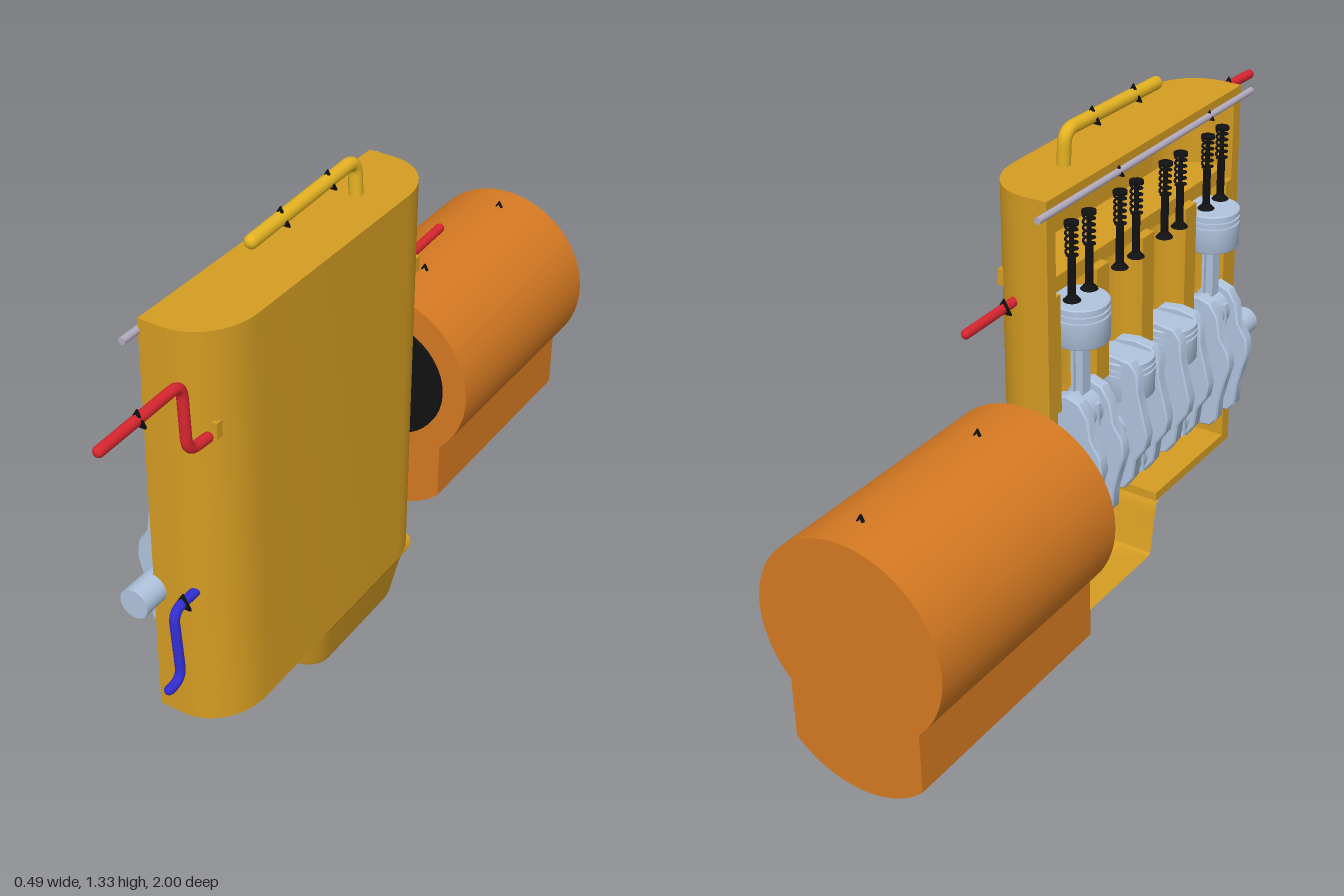
import * as THREE from 'three';
import { toCreasedNormals, mergeVertices } from 'three/addons/utils/BufferGeometryUtils.js';

const mat = (color) => new THREE.MeshStandardMaterial({ color, side: THREE.DoubleSide });
const gold = mat(0xd49c22), orange = mat(0xd67a22), steel = mat(0xb0c4de), black = mat(0x111111);
const yellow = mat(0xe6b422), red = mat(0xd8262f), blue = mat(0x322ed2), grey = mat(0xb4acc0);

const AXIS_X = 0.012, CRANK_Y = 0.51, THROW = 0.12, ROD = 0.24;
const CYLINDERS = [-0.09, 0.12, 0.33, 0.54];
const FACE = 0.015; // x of the cut-open side of the block

function add(parent, name, geometry, material, x = 0, y = 0, z = 0) {
  const mesh = new THREE.Mesh(geometry, material);
  mesh.name = name;
  mesh.position.set(x, y, z);
  parent.add(mesh);
  return mesh;
}

const rodZ = (r, length, sides = 28) => new THREE.CylinderGeometry(r, r, length, sides).rotateX(Math.PI / 2);

// Points [z, x] round three sides of a half-rounded plan, from face to face
function plan(z0, z1, x, rz, rx, n = 10) {
  const pts = [[z0, FACE]];
  for (let i = 0; i <= n; i++) {
    const a = (i / n) * Math.PI / 2;
    pts.push([z0 + rz * (1 - Math.cos(a)), x - rx * (1 - Math.sin(a))]);
  }
  for (let i = 0; i <= n; i++) {
    const a = (i / n) * Math.PI / 2;
    pts.push([z1 - rz * (1 - Math.sin(a)), x - rx * (1 - Math.cos(a))]);
  }
  pts.push([z1, FACE]);
  return pts;
}

const toShape = (pts) => new THREE.Shape(pts.map(([a, b]) => new THREE.Vector2(a, b)));

// Extrudes a [z, x] plan upwards from y0 to y1
function slab(shape, y0, y1) {
  const g = new THREE.ExtrudeGeometry(shape, { depth: y1 - y0, bevelEnabled: false, curveSegments: 20 });
  g.applyMatrix4(new THREE.Matrix4().makeBasis(
    new THREE.Vector3(0, 0, 1), new THREE.Vector3(1, 0, 0), new THREE.Vector3(0, 1, 0)));
  return toCreasedNormals(g.translate(0, y0, 0), 0.5);
}

function loft(rings) {
  const n = rings[0].length, index = [];
  for (let r = 0; r < rings.length - 1; r++) {
    for (let i = 0; i < n - 1; i++) {
      const a = r * n + i, b = a + n;
      index.push(a, a + 1, b, a + 1, b + 1, b);
    }
  }
  const g = new THREE.BufferGeometry();
  g.setAttribute('position', new THREE.Float32BufferAttribute(rings.flat(2), 3));
  g.setIndex(index);
  return toCreasedNormals(mergeVertices(g), 0.6);
}

function pipe(parent, name, points, radius, material) {
  // Rounded bends between straight runs
  const p = points.map((q) => new THREE.Vector3(...q));
  const path = new THREE.CurvePath();
  let from = p[0];
  for (let i = 1; i < p.length - 1; i++) {
    const inn = p[i].clone().add(p[i - 1].clone().sub(p[i]).setLength(0.035));
    const out = p[i].clone().add(p[i + 1].clone().sub(p[i]).setLength(0.035));
    path.add(new THREE.LineCurve3(from, inn));
    path.add(new THREE.QuadraticBezierCurve3(inn, p[i], out));
    from = out;
  }
  path.add(new THREE.LineCurve3(from, p[p.length - 1]));
  add(parent, name, new THREE.TubeGeometry(path, 70, radius, 12), material);
  for (const q of [p[0], p[p.length - 1]]) add(parent, name + 'End', new THREE.SphereGeometry(radius, 12, 6), material, q.x, q.y, q.z);
}

// Triangular marker band round a line running along z
function band(parent, x, y, z, r) {
  add(parent, 'markerBand', new THREE.TorusGeometry(r, 0.005, 6, 3).rotateZ(Math.PI / 2), black, x, y, z);
}

function buildBlock() {
  const g = new THREE.Group();
  g.name = 'engineBlock';
  const outer = plan(-0.22, 0.68, 0.21, 0.15, 0.13);
  const inner = plan(-0.185, 0.645, 0.185, 0.13, 0.115);
  add(g, 'blockWall', slab(toShape([...outer, ...inner.reverse()]), 0.16, 1.22), gold);
  add(g, 'blockRoof', slab(toShape(outer), 1.195, 1.22), gold);
  // Floor with an opening into the sump
  const opening = plan(-0.17, 0.28, 0.185, 0.07, 0.07).reverse();
  add(g, 'blockFloor', slab(toShape([...outer.slice().reverse(), ...opening.slice().reverse()]), 0.16, 0.185), gold);
  // Cylinder bores cut as half circles
  const bores = new THREE.Shape();
  bores.moveTo(-0.2, FACE);
  for (const z of CYLINDERS) {
    bores.lineTo(z - 0.078, FACE);
    bores.absarc(z, FACE, 0.078, Math.PI, 0, true);
  }
  bores.lineTo(0.66, FACE);
  bores.lineTo(0.6, 0.17);
  bores.lineTo(-0.14, 0.17);
  bores.closePath();
  add(g, 'cylinderBores', slab(bores, 0.66, 0.97), gold);
  add(g, 'headDeck', new THREE.BoxGeometry(0.14, 0.04, 0.83), gold, 0.11, 0.98, 0.23);
  // Bearing bulkheads between the cylinders
  for (const z of [0.015, 0.225, 0.435])
    add(g, 'bearingBulkhead', new THREE.BoxGeometry(0.12, 0.3, 0.03), gold, 0.13, 0.52, z);
  // Sump pan flaring into the block
  const levels = [[0.16, -0.185, 0.295, 0.21], [0.145, -0.172, 0.283, 0.2], [0.12, -0.162, 0.276, 0.192],
    [0.02, -0.142, 0.258, 0.175], [0.006, -0.138, 0.254, 0.17], [0, -0.13, 0.246, 0.162]];
  const rings = levels.map(([y, z0, z1, x]) => plan(z0, z1, x, 0.06, 0.06, 8).map(([z, px]) => [px, y, z]));
  rings.push(rings[rings.length - 1].map(([, y, z]) => [FACE, y, z]));
  add(g, 'sump', loft(rings), gold);
  return g;
}

function buildCrank() {
  const g = new THREE.Group();
  g.name = 'crankAssembly';
  add(g, 'crankshaftNose', rodZ(0.038, 0.15), steel, AXIS_X, CRANK_Y, 0.675);
  add(g, 'crankshaftTail', rodZ(0.038, 0.09), steel, AXIS_X, CRANK_Y, -0.2);
  add(g, 'driveShaft', rodZ(0.018, 0.05), steel, AXIS_X, CRANK_Y, -0.26);
  for (const z of [0.015, 0.225, 0.435]) add(g, 'mainJournal', rodZ(0.042, 0.12), steel, AXIS_X, CRANK_Y, z);
  // Web: pin end at the top, counterweight below
  const half = [[0, 0.182], [0.035, 0.17], [0.058, 0.135], [0.066, 0.08], [0.092, 0.04], [0.098, 0],
    [0.085, -0.05], [0.07, -0.11], [0.066, -0.165], [0.048, -0.188], [0, -0.195]];
  const left = half.slice(1, -1).reverse().map(([x, y]) => [-x, y]);
  const web = toCreasedNormals(new THREE.ExtrudeGeometry(toShape([...half, ...left]),
    { depth: 0.026, bevelSize: 0.004, bevelThickness: 0.004, bevelSegments: 1 }).translate(0, 0, -0.013), 0.6);
  // Piston with ring grooves, origin at its pin
  const profile = [[0.058, -0.04], [0.07, -0.045], [0.073, -0.04], [0.073, 0.024], [0.067, 0.024], [0.067, 0.03],
    [0.073, 0.03], [0.073, 0.04], [0.067, 0.04], [0.067, 0.046], [0.073, 0.046], [0.073, 0.058], [0.07, 0.061], [0, 0.061]];
  const piston = toCreasedNormals(new THREE.LatheGeometry(
    [[0, 0.02], ...[[0.058, 0.02]], ...profile].map(([x, y]) => new THREE.Vector2(x, y)), 32), 0.6);
  CYLINDERS.forEach((z, i) => {
    const dir = i === 0 || i === 3 ? 1 : -1;
    const pinY = CRANK_Y + dir * THROW, top = pinY + ROD;
    for (const s of [-1, 1]) {
      const w = add(g, 'crankWeb', web, steel, AXIS_X, CRANK_Y, z + s * 0.05);
      if (dir < 0) w.rotation.z = Math.PI;
      add(g, 'rodBolt', new THREE.CylinderGeometry(0.01, 0.01, 0.06, 12), steel, AXIS_X + s * 0.045, pinY, z);
      add(g, 'rodFlange', new THREE.BoxGeometry(0.008, ROD - 0.06, 0.034), steel, AXIS_X + s * 0.013, pinY + ROD / 2, z);
    }
    add(g, 'crankPin', rodZ(0.036, 0.1), steel, AXIS_X, pinY, z);
    add(g, 'rodBigEnd', rodZ(0.052, 0.044), steel, AXIS_X, pinY, z);
    add(g, 'rodWeb', new THREE.BoxGeometry(0.026, ROD, 0.014), steel, AXIS_X, pinY + ROD / 2, z);
    add(g, 'rodSmallEnd', rodZ(0.025, 0.04), steel, AXIS_X, top, z);
    add(g, 'pistonPin', rodZ(0.013, 0.142, 16), steel, AXIS_X, top, z);
    add(g, 'piston', piston, steel, AXIS_X, top, z);
  });
  return g;
}

function buildValves() {
  const g = new THREE.Group();
  g.name = 'valveTrain';
  const coil = [];
  for (let i = 0; i <= 60; i++) {
    const a = (i / 60) * Math.PI * 10;
    coil.push(new THREE.Vector3(Math.cos(a) * 0.014, 1.05 + (i / 60) * 0.08, Math.sin(a) * 0.014));
  }
  const spring = new THREE.TubeGeometry(new THREE.CatmullRomCurve3(coil), 120, 0.003, 6);
  for (const zc of CYLINDERS) for (const s of [-1, 1]) {
    const z = zc + s * 0.037, x = 0.01;
    add(g, 'valveHead', new THREE.CylinderGeometry(0.01, 0.022, 0.014, 20), black, x, 0.947, z);
    add(g, 'valveStem', new THREE.CylinderGeometry(0.006, 0.006, 0.19, 12), black, x, 1.04, z);
    add(g, 'valveGuide', new THREE.CylinderGeometry(0.01, 0.01, 0.1, 12), black, x, 1.0, z);
    add(g, 'valveCap', new THREE.CylinderGeometry(0.018, 0.018, 0.008, 16), black, x, 1.137, z);
    add(g, 'valveSpring', spring, black, x, 0, z);
  }
  add(g, 'camRail', rodZ(0.009, 0.99, 14), grey, AXIS_X, 1.19, 0.235);
  for (const z of [0.08, 0.51]) band(g, AXIS_X, 1.188, z, 0.013);
  return g;
}

function buildMotor() {
  const g = new THREE.Group();
  g.name = 'motor';
  // Round body joined to a foot with an arched underside
  const s = new THREE.Shape();
  const r = 0.245, hx = 0.175, cy = 0.513, low = 0.355, a = Math.acos(hx / r);
  s.absarc(0, cy, r, -a, Math.PI + a, false);
  s.absarc(0, low, r, Math.PI + a, Math.PI * 2 - a, false);
  s.closePath();
  const body = new THREE.ExtrudeGeometry(s, { depth: 0.66, bevelEnabled: false, curveSegments: 24 });
  add(g, 'motorBody', toCreasedNormals(body, 0.3), orange, 0, 0, -1);
  add(g, 'motorFlange', rodZ(0.165, 0.012, 40), black, AXIS_X, CRANK_Y, -0.334);
  add(g, 'coupling', rodZ(0.036, 0.065), black, AXIS_X, CRANK_Y, -0.298);
  for (const z of [-0.5, -0.91]) band(g, 0.02, 0.748, z, 0.022);
  return g;
}

function buildPipes() {
  const g = new THREE.Group();
  g.name = 'pipes';
  pipe(g, 'topPipe', [[0.105, 1.2, -0.015], [0.1, 1.305, -0.015], [0.105, 1.293, 0.4]], 0.017, yellow);
  pipe(g, 'frontUpperPipe', [[0.162, 0.965, 0.655], [0.162, 0.97, 0.725], [0.155, 1.138, 0.725], [0.155, 1.13, 0.988]], 0.013, red);
  pipe(g, 'frontLowerPipe', [[0.122, 0.54, 0.66], [0.122, 0.54, 0.75], [0.137, 0.355, 0.752], [0.137, 0.355, 0.798]], 0.012, blue);
  pipe(g, 'rearPipe', [[0.115, 0.945, -0.17], [0.108, 0.948, -0.41]], 0.012, red);
  band(g, 0.1, 1.3, 0.1, 0.025);
  band(g, 0.103, 1.296, 0.29, 0.025);
  band(g, 0.155, 1.133, 0.87, 0.021);
  band(g, 0.122, 0.54, 0.715, 0.021);
  band(g, 0.111, 0.947, -0.26, 0.021);
  return g;
}

export function createModel() {
  const model = new THREE.Group();
  model.name = 'cutawayEngine';
  model.add(buildBlock(), buildCrank(), buildValves(), buildMotor(), buildPipes());
  return model;
}
